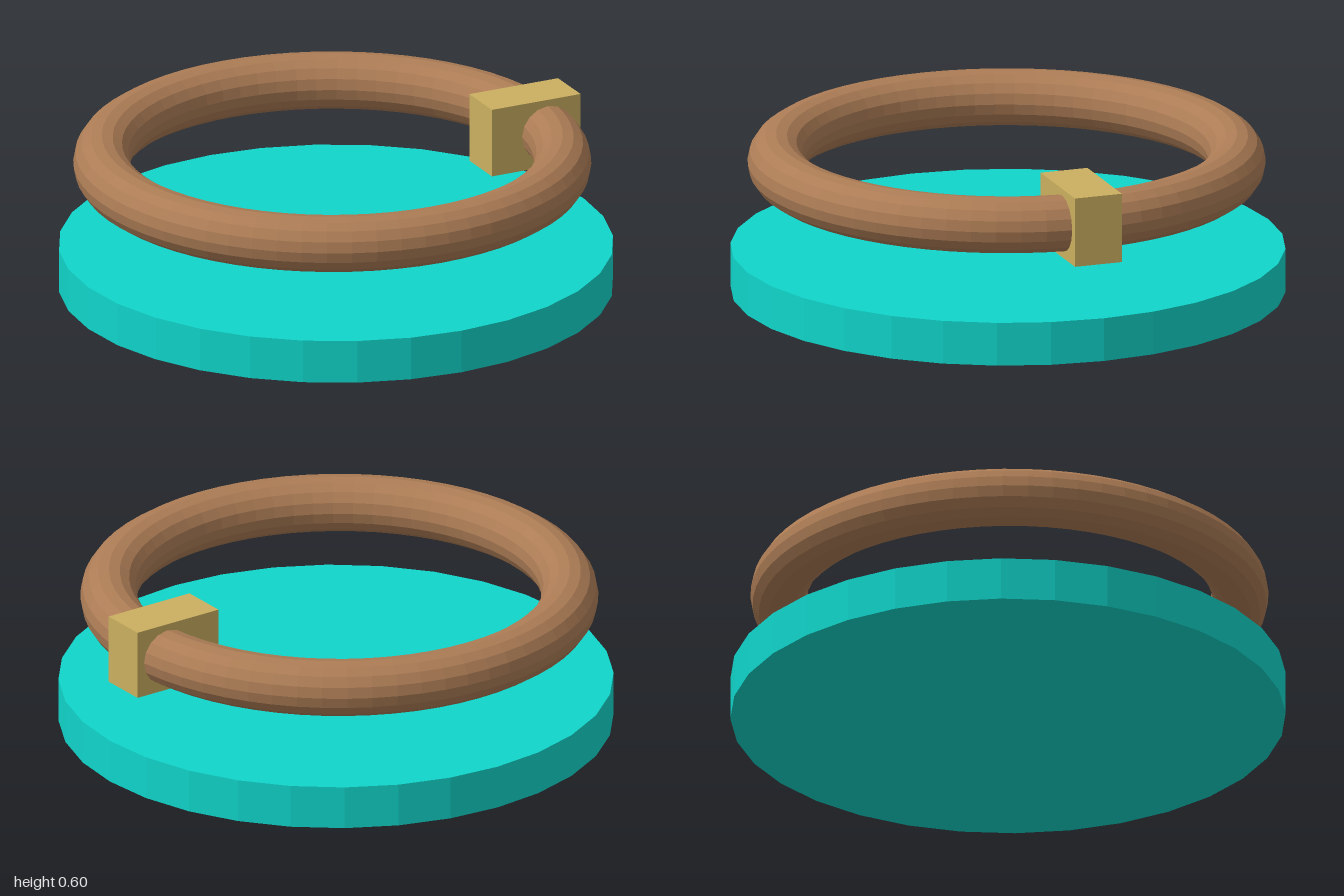
import * as THREE from 'three';

const material = (name, color) => {
  const m = new THREE.MeshStandardMaterial({ color, flatShading: true });
  m.name = name;
  return m;
};

export function createModel() {
  const model = new THREE.Group();
  model.name = 'ringOnBase';

  const add = (name, geometry, mat, x, y, z) => {
    const mesh = new THREE.Mesh(geometry, mat);
    mesh.name = name;
    mesh.position.set(x, y, z);
    model.add(mesh);
    return mesh;
  };

  // Faceted round base
  add('base', new THREE.CylinderGeometry(1, 1, 0.16, 32), material('turquoise', 0x10d5ca), 0, 0.08, 0);

  // Ring floating level above the base
  const ring = new THREE.TorusGeometry(0.83, 0.103, 16, 64).rotateX(Math.PI / 2);
  add('ring', ring, material('brown', 0xac7c55), -0.015, 0.475, 0);

  // Block clasped around the ring on its left side
  add('clasp', new THREE.BoxGeometry(0.358, 0.256, 0.18), material('gold', 0xcbb060), 0.763, 0.474, 0);

  return model;
}
